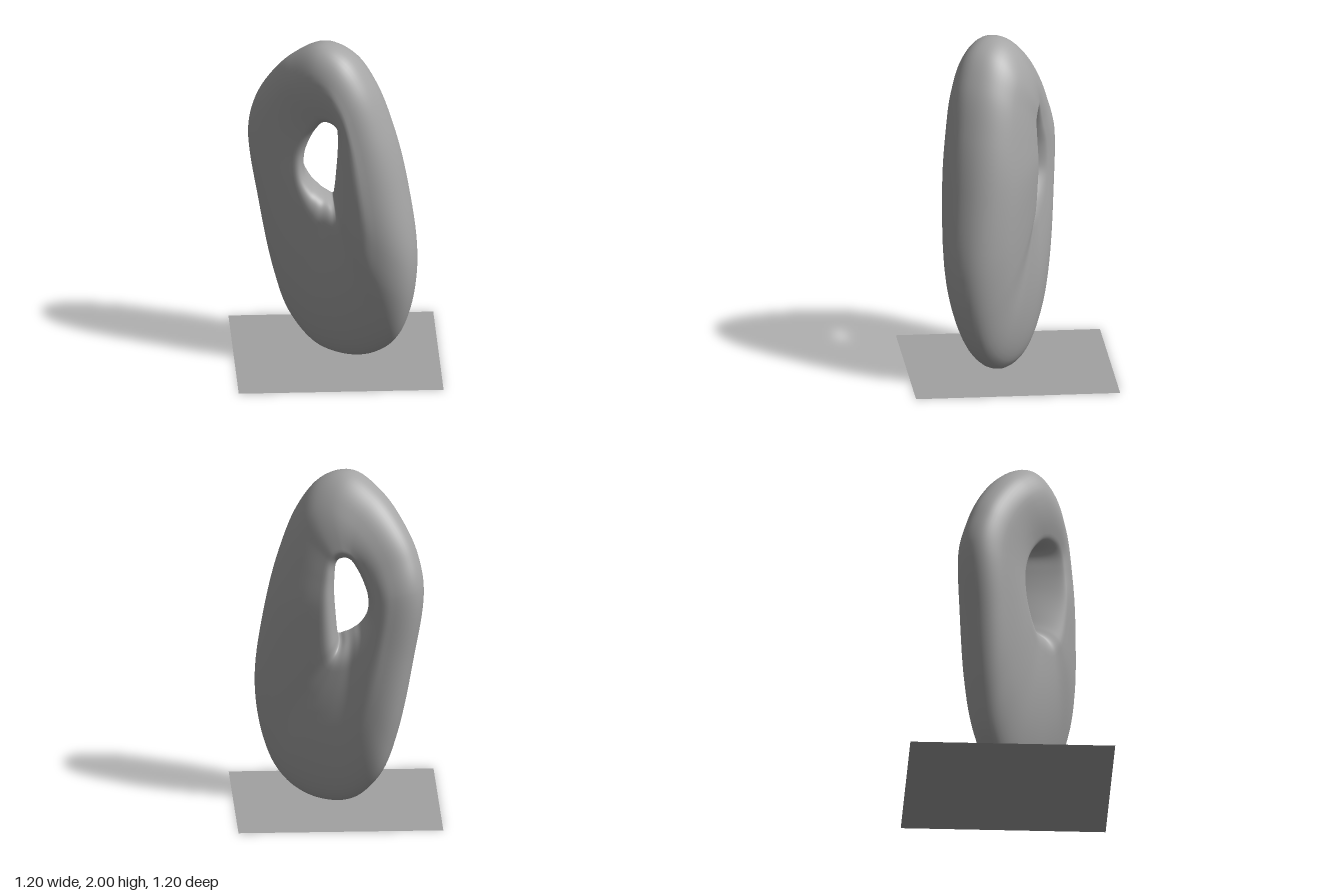
import * as THREE from 'three';

const TILT = 0.505; // turn of the slab around the vertical axis
const DEPTH = 0.05;
const RIM = 0.17; // share of each cross-section used to round the hole's rim

// Stations clockwise around the ring:
// [outer u, outer y, half thickness, hole u, hole y, outer edge offset along the slab normal]
const STATIONS = [
  [-0.06, 2.0, 0.22, -0.06, 1.52, 0.065],
  [0.11, 1.95, 0.235, -0.02, 1.51, 0.065],
  [0.25, 1.78, 0.24, 0.0, 1.48, 0.06],
  [0.36, 1.5, 0.25, 0.01, 1.4, 0.04],
  [0.445, 1.15, 0.26, 0.012, 1.28, 0.02],
  [0.51, 0.7, 0.25, 0.0, 1.13, 0.01],
  [0.475, 0.4, 0.235, -0.01, 1.04, 0],
  [0.38, 0.18, 0.21, -0.02, 1.0, -0.02],
  [0.24, 0.06, 0.2, -0.035, 1.0, -0.04],
  [0.06, 0.01, 0.19, -0.06, 1.015, -0.05],
  [-0.14, 0.04, 0.18, -0.09, 1.03, -0.055],
  [-0.31, 0.2, 0.18, -0.12, 1.05, -0.055],
  [-0.41, 0.45, 0.18, -0.16, 1.08, -0.05],
  [-0.505, 0.9, 0.175, -0.21, 1.16, -0.035],
  [-0.57, 1.35, 0.17, -0.21, 1.28, -0.02],
  [-0.515, 1.56, 0.17, -0.17, 1.39, 0.01],
  [-0.42, 1.72, 0.18, -0.13, 1.46, 0.03],
  [-0.26, 1.89, 0.2, -0.09, 1.51, 0.055],
];

const loop = (pick) =>
  new THREE.CatmullRomCurve3(STATIONS.map((s) => new THREE.Vector3(...pick(s))), true);
const soften = (v, power) => Math.sign(v) * Math.abs(v) ** power;

// Closed ring: each cross-section is thick beside the hole and tapers to the outer edge
function ringGeometry(around = 144, section = 64) {
  const outer = loop((s) => [s[0], s[1], s[2]]);
  const inner = loop((s) => [s[3], s[4], s[5]]);
  const positions = [];
  const index = [];
  for (let i = 0; i < around; i++) {
    const o = outer.getPoint(i / around);
    const h = inner.getPoint(i / around);
    for (let j = 0; j < section; j++) {
      const a = (j / section) * Math.PI * 2;
      const cos = Math.cos(a);
      const power = cos < 0 ? 0.75 : 0.92;
      const t = RIM + (cos < 0 ? RIM : 1 - RIM) * soften(cos, power);
      const u = THREE.MathUtils.lerp(h.x, o.x, t);
      const y = THREE.MathUtils.lerp(h.y, o.y, t);
      const n = h.z * t + o.z * soften(Math.sin(a), power);
      // The hole runs straight front to back, the outer edge follows the tilted slab
      const turn = TILT * Math.min(1, t * 1.5);
      positions.push(
        u * Math.cos(TILT) - n * Math.sin(turn),
        y,
        DEPTH + u * Math.sin(TILT) + n * Math.cos(turn)
      );

      const i2 = (i + 1) % around;
      const j2 = (j + 1) % section;
      const p = i * section + j;
      const q = i2 * section + j;
      const r = i2 * section + j2;
      const w = i * section + j2;
      index.push(p, w, q, q, w, r);
    }
  }
  const geometry = new THREE.BufferGeometry();
  geometry.setAttribute('position', new THREE.Float32BufferAttribute(positions, 3));
  geometry.setIndex(index);
  geometry.computeVertexNormals();
  return geometry;
}

export function createModel() {
  const group = new THREE.Group();

  // Upright pierced stone form
  const stone = new THREE.Mesh(
    ringGeometry(),
    new THREE.MeshStandardMaterial({ color: 0xa5a5a5 })
  );
  stone.name = 'piercedForm';
  group.add(stone);

  // Thin square base sheet
  const base = new THREE.Mesh(
    new THREE.PlaneGeometry(1.2, 1.2).rotateX(-Math.PI / 2),
    new THREE.MeshStandardMaterial({ color: 0xa2a2a2, side: THREE.DoubleSide })
  );
  base.name = 'basePlate';
  group.add(base);

  return group;
}
